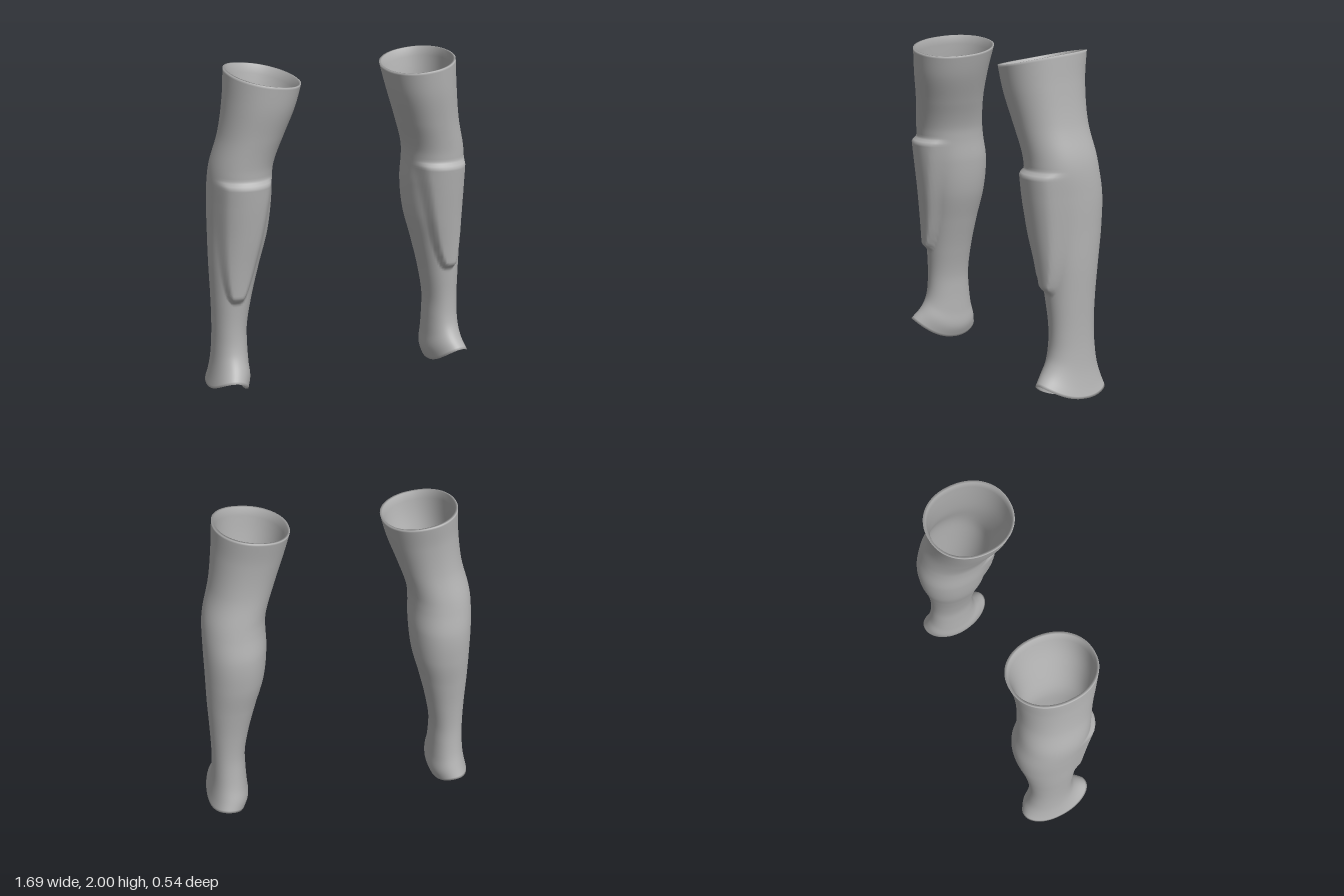
import * as THREE from 'three';

// Cross-sections of one legging: height, inner x, outer x, back z, front z
const SECTIONS = [
  [0.056, 0.612, 0.845, -0.255, 0.200],
  [0.12, 0.588, 0.828, -0.236, 0.150],
  [0.20, 0.592, 0.812, -0.213, 0.114],
  [0.30, 0.596, 0.802, -0.198, 0.094],
  [0.42, 0.594, 0.798, -0.190, 0.087],
  [0.60, 0.562, 0.800, -0.200, 0.098],
  [0.80, 0.512, 0.805, -0.226, 0.118],
  [1.00, 0.458, 0.805, -0.258, 0.145],
  [1.20, 0.435, 0.805, -0.267, 0.172],
  [1.35, 0.434, 0.800, -0.243, 0.189],
  [1.42, 0.427, 0.790, -0.232, 0.194],
  [1.60, 0.370, 0.742, -0.206, 0.222],
  [1.80, 0.308, 0.712, -0.212, 0.256],
  [1.955, 0.268, 0.700, -0.237, 0.273],
];
const Y0 = 0.056, Y1 = 1.955, ROWS = 140, COLS = 64, WALL = 0.014;

const profile = new THREE.CubicInterpolant(
  SECTIONS.map((s) => s[0]), SECTIONS.flatMap((s) => s.slice(1)), 4);
const smooth = THREE.MathUtils.smoothstep;
const round = (c, p) => Math.sign(c) * Math.abs(c) ** p;

// Height of the raised shin plate above the legging's front
function shinPlate(x, y, plateEnd) {
  const t = (y - plateEnd) / (1.33 - plateEnd);
  if (t <= 0 || y > 1.355) return 0;
  const k = Math.min(t, 1);
  const halfWidth = 0.17 * k ** 0.45;
  const d = Math.abs(x - (0.69 - 0.07 * k)) / halfWidth;
  const ends = (1 - smooth(y, 1.32, 1.352)) * smooth(t, 0, 0.08);
  return 0.037 * (1 - smooth(d, 0.72, 1.06)) * ends;
}

// One point of the wall; inset is the distance in from the outer face
function wallPoint(v, angle, inset, drop, plateEnd) {
  const yn = Y0 + v * (Y1 - Y0);
  const [x0, x1, z0, z1] = profile.evaluate(yn);
  const c = Math.cos(angle), s = Math.sin(angle);
  const x = (x0 + x1) / 2 + ((x1 - x0) / 2 - inset) * round(c, 0.93);
  let z = (z0 + z1) / 2 + ((z1 - z0) / 2 - inset) * round(s, 0.93);

  // Slanted top opening and arched ankle hem
  const top = smooth(yn, 1.5, Y1), hem = 1 - smooth(yn, Y0, 0.36);
  const y = yn + top * (0.035 * c - 0.025 * s - drop)
    + hem * (0.02 * c + 0.0325 * s - 0.036 * Math.cos(2 * angle));

  if (inset === 0 && s > 0) z += shinPlate(x, y, plateEnd);
  return [x, y, z];
}

// Outer wall up, rolled rim, inner wall down: a closed loop of rings
function leggingGeometry(side, drop, plateEnd) {
  const rings = [];
  for (let i = 0; i <= ROWS; i++) rings.push([i / ROWS, 0]);
  for (let i = ROWS; i >= 0; i -= 4) rings.push([i / ROWS, WALL]);

  const positions = [], index = [];
  rings.forEach(([v, inset], r) => {
    const next = (r + 1) % rings.length;
    for (let j = 0; j < COLS; j++) {
      const [x, y, z] = wallPoint(v, (j / COLS) * Math.PI * 2, inset, drop, plateEnd);
      positions.push(side * x, y, z);
      const k = (j + 1) % COLS;
      const a = r * COLS + j, b = next * COLS + j, c = next * COLS + k, d = r * COLS + k;
      if (side > 0) index.push(a, b, d, b, c, d);
      else index.push(a, d, b, b, d, c);
    }
  });

  const geometry = new THREE.BufferGeometry();
  geometry.setAttribute('position', new THREE.Float32BufferAttribute(positions, 3));
  geometry.setIndex(index);
  geometry.computeVertexNormals();
  return geometry;
}

export function createModel() {
  const group = new THREE.Group();
  group.name = 'leggings';
  const grey = new THREE.MeshStandardMaterial({ color: 0xb2b2b2 });
  grey.name = 'grey';

  // The right one has a slightly lower rim and a longer shin plate
  for (const [name, side, drop, plateEnd] of [
    ['leftLegging', 1, 0, 0.63],
    ['rightLegging', -1, 0.025, 0.58],
  ]) {
    const mesh = new THREE.Mesh(leggingGeometry(side, drop, plateEnd), grey);
    mesh.name = name;
    group.add(mesh);
  }
  return group;
}
